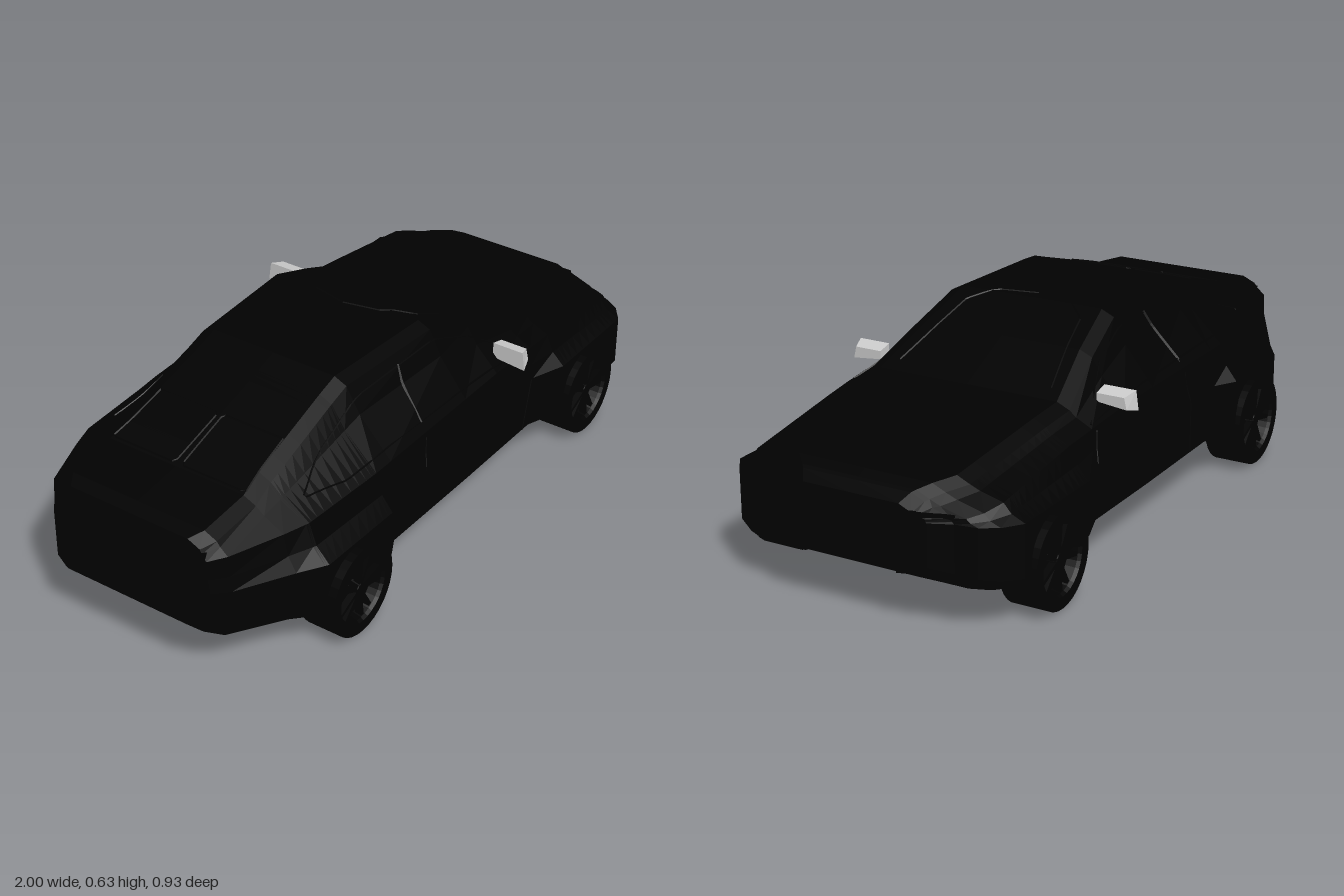
import * as THREE from 'three';

const BLACK = new THREE.MeshStandardMaterial({ color: 0x010101, flatShading: true, side: THREE.DoubleSide });
const GREY = new THREE.MeshStandardMaterial({ color: 0xcccccc, flatShading: true });

const AXLES = [-0.55, 0.68], WHEEL_R = 0.14, ARCH_R = 0.15;

// Body stations: x, underside y, top y, half width, shoulder half width, shoulder y, roof half width
const STATIONS = [
  [-1.0, 0.20, 0.43, 0.235, 0.23, 0.38, 0.22],
  [-0.97, 0.17, 0.46, 0.27, 0.26, 0.41, 0.24],
  [-0.93, 0.15, 0.473, 0.31, 0.30, 0.42, 0.265],
  [-0.77, 0.14, 0.493, 0.40, 0.36, 0.42, 0.27],
  [-0.69, 0.135, 0.518, 0.45, 0.385, 0.42, 0.26],
  [-0.40, 0.13, 0.606, 0.455, 0.40, 0.42, 0.25],
  [-0.33, 0.125, 0.628, 0.415, 0.40, 0.42, 0.25],
  [0.05, 0.12, 0.628, 0.415, 0.40, 0.42, 0.272],
  [0.22, 0.12, 0.56, 0.415, 0.40, 0.42, 0.295],
  [0.41, 0.12, 0.47, 0.415, 0.40, 0.41, 0.33],
  [0.52, 0.12, 0.455, 0.455, 0.395, 0.40, 0.32],
  [0.86, 0.125, 0.403, 0.455, 0.39, 0.355, 0.29],
  [0.915, 0.13, 0.392, 0.415, 0.365, 0.34, 0.25],
  [0.945, 0.135, 0.378, 0.365, 0.33, 0.328, 0.22],
  [0.955, 0.14, 0.372, 0.30, 0.29, 0.325, 0.21],
  [0.985, 0.155, 0.348, 0.235, 0.23, 0.32, 0.19],
];

function station(x) {
  let i = 0;
  while (i < STATIONS.length - 2 && x > STATIONS[i + 1][0]) i++;
  const a = STATIONS[i], b = STATIONS[i + 1], t = (x - a[0]) / (b[0] - a[0]);
  return a.map((v, k) => v + (b[k] - v) * t);
}

// Half cross-section as [z, y], from underside centre round to roof centre
function section(x) {
  const [, yb, yt, w, ws, ys, zr] = station(x);
  let ya = yb, inset = 0.03;
  for (const c of AXLES) {
    const d = Math.abs(x - c);
    if (d <= ARCH_R + 1e-6) {
      ya = Math.max(yb, WHEEL_R + Math.sqrt(Math.max(0, ARCH_R ** 2 - d * d)));
      inset = 0.008;
    }
  }
  const zi = Math.min(0.34, w * 0.8), yr = yt - 0.018;
  return [[0, yb], [zi, yb], [zi, ya], [w - inset, ya], [w, Math.min(ya + 0.03, 0.308)], [w, 0.31],
    [w + (ws - w) * 0.64, 0.31 + (ys - 0.31) * 0.41], [ws, ys],
    [ws + (zr - ws) * 0.7, ys + (yr - ys) * 0.6], [zr, yr], [zr - 0.04, yt], [0, yt]];
}

// Point on the body skin at x and a fractional section row
function skin(x, row, side) {
  const s = section(x), i = Math.min(Math.floor(row), s.length - 2), t = row - i;
  return new THREE.Vector3(x, s[i][1] + (s[i + 1][1] - s[i][1]) * t,
    side * (s[i][0] + (s[i + 1][0] - s[i][0]) * t));
}

function bodyGeometry() {
  const xs = STATIONS.map(s => s[0]);
  for (const c of AXLES) for (let k = 0; k <= 12; k++) xs.push(c - ARCH_R * Math.cos(k * Math.PI / 12));
  xs.sort((a, b) => a - b);
  const pos = [], idx = [], n = 22;
  xs.forEach((x, i) => {
    const half = section(x);
    const ring = [...half, ...half.slice(1, -1).reverse().map(([z, y]) => [-z, y])];
    // the tail leans forward towards the top
    for (const [z, y] of ring) pos.push(i ? x : x + (y - 0.2) * 0.1, y, z);
  });
  for (let i = 0; i < xs.length - 1; i++) for (let j = 0; j < n; j++) {
    const a = i * n + j, d = i * n + (j + 1) % n;
    idx.push(a, a + n, d + n, a, d + n, d);
  }
  // end caps
  const last = (xs.length - 1) * n, c = xs.length * n;
  pos.push(-0.989, 0.31, 0, 0.985, 0.26, 0);
  for (let j = 0; j < n; j++) {
    const k = (j + 1) % n;
    idx.push(c, j, k, c + 1, last + k, last + j);
  }
  const g = new THREE.BufferGeometry();
  g.setAttribute('position', new THREE.Float32BufferAttribute(pos, 3));
  g.setIndex(idx);
  g.computeVertexNormals();
  return g;
}

function add(parent, name, geo, mat = BLACK, x = 0, y = 0, z = 0) {
  const m = new THREE.Mesh(geo, mat);
  m.name = name;
  m.position.set(x, y, z);
  parent.add(m);
  return m;
}

// Thin trim following the skin through [x, row] points
function trim(parent, name, path, side, r = 0.003) {
  const pts = [];
  path.forEach(([x, row], i) => {
    if (!i) return pts.push(skin(x, row, side));
    const [px, pr] = path[i - 1];
    for (let k = 1; k <= 5; k++) pts.push(skin(px + (x - px) * k / 5, pr + (row - pr) * k / 5, side));
  });
  const curve = new THREE.CatmullRomCurve3(pts, false, 'catmullrom', 0);
  add(parent, name, new THREE.TubeGeometry(curve, pts.length * 2, r, 4));
}

// Wheel with its outer face towards +z
function wheel() {
  const g = new THREE.Group();
  g.name = 'wheel';
  const profile = [[0, -0.057], [0.14, -0.057], [0.14, 0.057], [0.105, 0.057],
    [0.098, 0.048], [0.092, 0.02], [0, 0.02]].map(p => new THREE.Vector2(...p));
  add(g, 'tyre', new THREE.LatheGeometry(profile, 32)).rotation.x = Math.PI / 2;
  add(g, 'hub', new THREE.CylinderGeometry(0.018, 0.024, 0.03, 12), BLACK, 0, 0, 0.034).rotation.x = Math.PI / 2;
  for (let i = 0; i < 10; i++) {
    const a = Math.floor(i / 2) * Math.PI * 0.4 + (i % 2 ? 0.2 : -0.2);
    const spoke = add(g, 'spoke', new THREE.BoxGeometry(0.085, 0.012, 0.02), BLACK,
      Math.cos(a) * 0.055, Math.sin(a) * 0.055, 0.036);
    spoke.rotation.z = a;
  }
  return g;
}

// Mirror housing: smaller front face, underside rising to the inner end
function mirrorGeometry(side) {
  const g = new THREE.BoxGeometry(0.045, 0.058, 0.108), p = g.attributes.position;
  for (let i = 0; i < p.count; i++) {
    const outer = p.getZ(i) * side > 0, top = p.getY(i) > 0, front = p.getX(i) > 0;
    if (front) p.setY(i, p.getY(i) * 0.6);
    if (front && outer) p.setZ(i, p.getZ(i) - side * 0.014);
    if (!outer && !top) p.setY(i, p.getY(i) + 0.01);
    if (outer && top) p.setZ(i, p.getZ(i) - side * 0.008);
  }
  g.computeVertexNormals();
  return g;
}

export function createModel() {
  const car = new THREE.Group();
  car.name = 'car';
  add(car, 'body', bodyGeometry());

  for (const s of [1, -1]) {
    for (const x of AXLES) {
      const w = wheel();
      w.position.set(x, WHEEL_R, s * 0.407);
      if (s < 0) w.rotation.y = Math.PI;
      car.add(w);
    }
    add(car, 'mirror', mirrorGeometry(s), GREY, 0.286, 0.459, s * 0.412);
    add(car, 'doorHandle', new THREE.BoxGeometry(0.06, 0.022, 0.012), BLACK, -0.01, 0.385, s * 0.406);

    // side glass, pillar and door seams
    trim(car, 'sideWindowFrame', [[0.40, 7.2], [0.2, 8.55], [0.04, 8.65], [-0.3, 8.55], [-0.5, 8.2],
      [-0.65, 7.6], [-0.5, 7.25], [0, 7.2], [0.40, 7.2]], s);
    trim(car, 'centrePillar', [[-0.15, 7.2], [-0.12, 8.65]], s, 0.005);
    trim(car, 'rearDoorSeam', [[-0.15, 7.2], [-0.17, 5], [-0.17, 4]], s, 0.002);
    trim(car, 'frontDoorSeam', [[0.38, 7.2], [0.4, 5], [0.36, 4]], s, 0.002);

    // windscreen and rear deck panels
    trim(car, 'windscreenFrame', [[0.37, 10.12], [0.1, 10.2], [0.03, 10.5], [0.005, 11]], s);
    trim(car, 'rearDeckPanel', [[-0.57, 10.02], [-0.76, 10], [-0.76, 10.95], [-0.57, 10.96], [-0.57, 10.02]], s);

    // front lights, grille and bumper intake, rear lights
    add(car, 'headlight', new THREE.BoxGeometry(0.03, 0.045, 0.13), BLACK, 0.963, 0.31, s * 0.235).rotation.y = -s * 0.4;
    add(car, 'grille', new THREE.BoxGeometry(0.012, 0.11, 0.11), BLACK, 0.983, 0.235, s * 0.068);
    add(car, 'bumperIntake', new THREE.BoxGeometry(0.03, 0.025, 0.19), BLACK, 0.952, 0.168, s * 0.23).rotation.y = -s * 0.3;
    add(car, 'tailLight', new THREE.BoxGeometry(0.03, 0.045, 0.13), BLACK, -0.968, 0.41, s * 0.19).rotation.y = s * 0.15;
  }
  add(car, 'nose', new THREE.BoxGeometry(0.03, 0.045, 0.40), BLACK, 0.985, 0.312, 0);
  add(car, 'bootLip', new THREE.BoxGeometry(0.05, 0.045, 0.44), BLACK, -0.975, 0.412, 0);
  return car;
}
